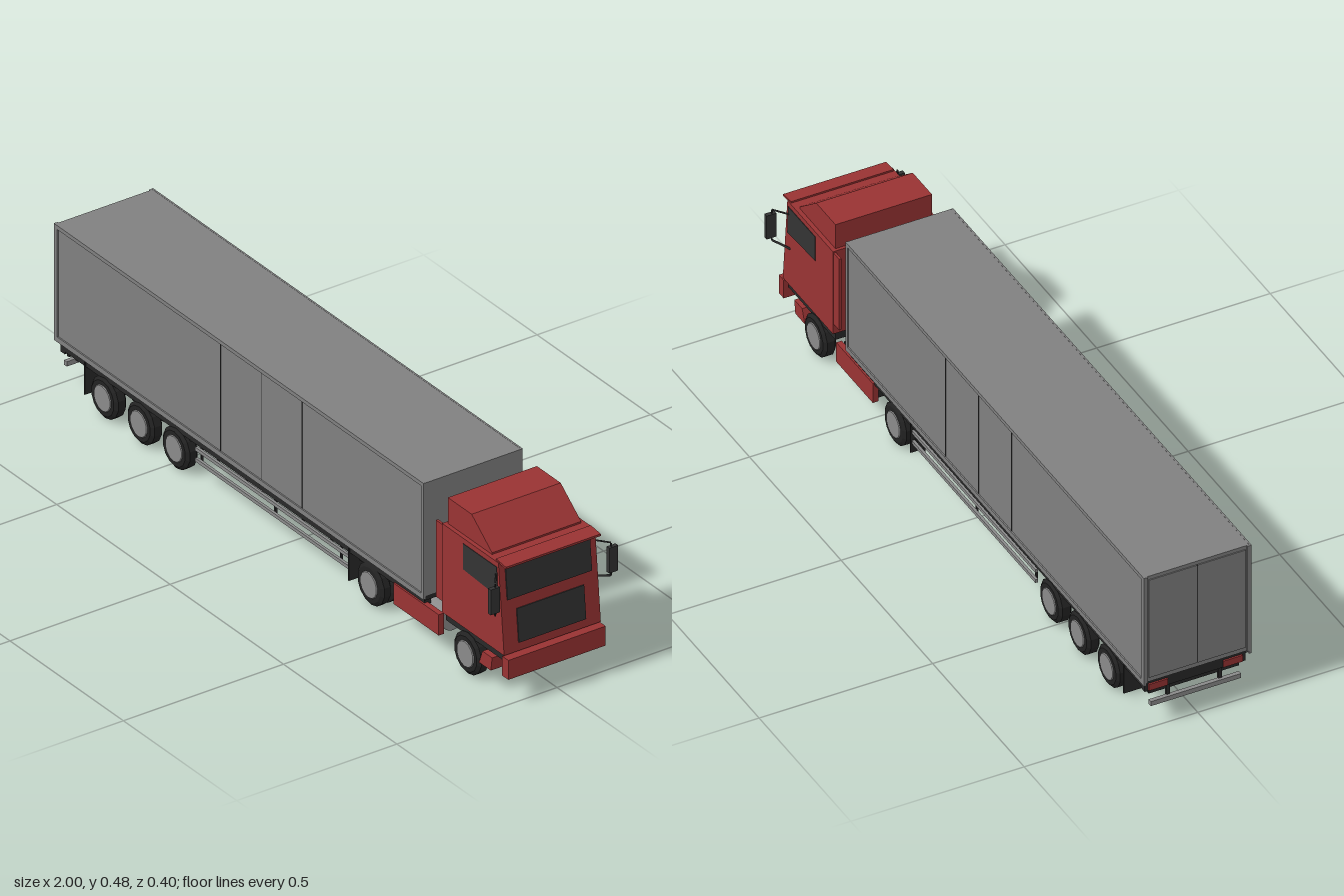
import * as THREE from 'three';
import { toCreasedNormals } from 'three/addons/utils/BufferGeometryUtils.js';

const material = (name, color) => {
  const m = new THREE.MeshStandardMaterial({ color });
  m.name = name;
  return m;
};

export function createModel() {
  const red = material('cab red', 0x993333);
  const grey = material('trailer grey', 0x808080);
  const glass = material('dark glass', 0x333333);
  const black = material('chassis black', 0x292929);
  const rubber = material('tyre rubber', 0x222222);
  const metal = material('hub metal', 0x8a8a8a);

  const truck = new THREE.Group();
  truck.name = 'truck';

  function add(name, geometry, mat, x = 0, y = 0, z = 0, parent = truck) {
    const mesh = new THREE.Mesh(geometry, mat);
    mesh.name = name;
    mesh.position.set(x, y, z);
    parent.add(mesh);
    return mesh;
  }
  // Box given by its limits on each axis
  function box(name, mat, x0, x1, y0, y1, z0, z1) {
    return add(name, new THREE.BoxGeometry(x1 - x0, y1 - y0, z1 - z0), mat,
      (x0 + x1) / 2, (y0 + y1) / 2, (z0 + z1) / 2);
  }
  // Side profile in x and y, extruded across z
  function profile(name, mat, points, z0, z1) {
    const shape = new THREE.Shape(points.map(p => new THREE.Vector2(...p)));
    const geometry = new THREE.ExtrudeGeometry(shape, { depth: z1 - z0, bevelEnabled: false });
    return add(name, geometry, mat, 0, 0, z0);
  }
  function rod(name, mat, a, b, radius) {
    const start = new THREE.Vector3(...a), end = new THREE.Vector3(...b);
    const path = new THREE.LineCurve3(start, end);
    return add(name, new THREE.TubeGeometry(path, 1, radius, 6), mat);
  }
  // Box on one side, from inner to outer distance
  function sideBox(name, mat, s, x0, x1, y0, y1, zi, zo) {
    return box(name, mat, x0, x1, y0, y1, Math.min(s * zi, s * zo), Math.max(s * zi, s * zo));
  }

  // Trailer body with raised frame
  box('trailerBody', grey, -0.996, 0.63, 0.143, 0.477, -0.151, 0.151);
  box('trailerFloor', black, -0.985, 0.625, 0.128, 0.143, -0.148, 0.148);
  for (const s of [-1, 1]) {
    sideBox('topRail', grey, s, -1, 0.63, 0.466, 0.4775, 0.15, 0.155);
    sideBox('bottomRail', grey, s, -1, 0.63, 0.135, 0.15, 0.147, 0.155);
    sideBox('rearPost', grey, s, -1, -0.985, 0.143, 0.477, 0.143, 0.155);
    sideBox('frontPost', grey, s, 0.62, 0.63, 0.143, 0.477, 0.15, 0.155);
    for (const x of [-0.27, -0.09, 0.09]) {
      sideBox('panelSeam', glass, s, x - 0.001, x + 0.001, 0.15, 0.466, 0.15, 0.152);
    }
    // Rear doors and lamps
    sideBox('rearDoor', grey, s, -0.999, -0.995, 0.157, 0.466, 0.002, 0.14);
    sideBox('tailLamp', red, s, -0.99, -0.982, 0.108, 0.128, 0.08, 0.135);
    // Trailer chassis beams
    sideBox('trailerBeam', black, s, -0.97, 0.6, 0.1, 0.13, 0.045, 0.06);
    sideBox('trailerEdgeBeam', black, s, -0.97, 0.62, 0.112, 0.13, 0.125, 0.145);
    // Side guard rails and posts
    for (const y of [0.066, 0.098]) {
      sideBox('guardRail', metal, s, -0.39, 0.285, y - 0.005, y + 0.005, 0.138, 0.146);
    }
    for (const x of [-0.375, -0.05, 0.24, 0.28]) {
      sideBox('guardPost', black, s, x - 0.003, x + 0.003, 0.06, 0.125, 0.132, 0.138);
    }
    // Mud flaps
    for (const x of [-0.875, 0.29]) {
      sideBox('mudFlap', black, s, x - 0.002, x + 0.002, 0.03, 0.125, 0.09, 0.148);
    }
    sideBox('underrunArm', black, s, -0.982, -0.972, 0.058, 0.13, 0.07, 0.08);
    // Tractor chassis beam
    sideBox('tractorBeam', black, s, 0.3, 0.955, 0.095, 0.122, 0.045, 0.057);
  }
  box('rearCrossBeam', black, -0.985, -0.965, 0.105, 0.13, -0.145, 0.145);
  box('upperUnderrunBar', black, -0.978, -0.968, 0.09, 0.1, -0.13, 0.13);
  box('lowerUnderrunBar', metal, -0.99, -0.978, 0.058, 0.072, -0.13, 0.13);
  box('doorGap', glass, -0.9985, -0.995, 0.157, 0.466, -0.002, 0.002);
  for (let i = 0; i < 12; i++) {
    const x = -0.92 + i * 0.125;
    box('crossMember', black, x - 0.006, x + 0.006, 0.105, 0.128, -0.14, 0.14);
  }

  // Underfloor box and spare wheel
  box('palletBox', metal, -0.235, -0.125, 0.083, 0.12, 0.06, 0.125);

  // Wheels along z, with bevelled tyres and flat hubs
  function tyreGeometry(width) {
    const h = width / 2;
    const points = [[0, -h], [0.05, -h], [0.06, -h * 0.6], [0.06, h * 0.6], [0.05, h], [0, h]];
    const geometry = new THREE.LatheGeometry(points.map(p => new THREE.Vector2(...p)), 14);
    return toCreasedNormals(geometry, 0.2);
  }
  const hub = new THREE.CylinderGeometry(0.036, 0.039, 0.004, 14).rotateX(Math.PI / 2);
  const spare = add('spareWheel', tyreGeometry(0.035), rubber, 0.03, 0.078, 0);
  spare.scale.set(1.05, 1, 1.05);
  for (const [x, dual] of [[-0.79, 0], [-0.63, 0], [-0.475, 0], [0.38, 1], [0.81, 0]]) {
    const axle = new THREE.CylinderGeometry(0.012, 0.012, 0.24, 8).rotateX(Math.PI / 2);
    add('axle', axle, black, x, 0.06, 0);
    for (const s of [-1, 1]) {
      const wheel = new THREE.Group();
      wheel.name = 'wheel';
      wheel.position.set(x, 0.06, s * 0.132);
      truck.add(wheel);
      const tyre = tyreGeometry(dual ? 0.032 : 0.038).rotateX(Math.PI / 2);
      add('tyre', tyre, rubber, 0, 0, 0, wheel);
      if (dual) add('innerTyre', tyre, rubber, 0, 0, -s * 0.034, wheel);
      const face = hub.clone();
      if (s < 0) face.rotateY(Math.PI);
      add('hub', face, metal, 0, 0, s * (dual ? 0.0165 : 0.0195), wheel);
    }
  }

  // Tractor underside
  box('cabFloor', black, 0.71, 0.965, 0.11, 0.134, -0.142, 0.142);
  box('engine', black, 0.74, 0.93, 0.07, 0.112, -0.055, 0.055);
  box('couplingPlate', black, 0.32, 0.46, 0.118, 0.13, -0.06, 0.06);
  box('batteryBox', black, 0.5, 0.68, 0.06, 0.122, -0.133, -0.075);
  const tank = new THREE.CylinderGeometry(0.034, 0.034, 0.18, 16).rotateZ(Math.PI / 2);
  add('fuelTank', toCreasedNormals(tank, 0.6), metal, 0.59, 0.085, 0.098);

  // Cab with a slightly raked front
  const lowX = 0.98, topX = 0.955, lowY = 0.134, topY = 0.395;
  profile('cab', red, [[0.706, lowY], [lowX, lowY], [topX, topY], [0.706, topY]], -0.151, 0.151);
  profile('roofFairing', red, [[0.715, 0.395], [0.91, 0.395], [0.91, 0.4], [0.82, 0.471], [0.715, 0.471]],
    -0.139, 0.139);
  profile('sunVisor', red, [[0.94, 0.393], [0.984, 0.389], [0.984, 0.395], [0.94, 0.4]], -0.148, 0.148);
  box('bumper', red, 0.973, 1, 0.073, 0.13, -0.152, 0.152);
  box('bumperBeam', black, 0.95, 0.974, 0.08, 0.134, -0.12, 0.12);

  // Windscreen and grille lie on the raked front
  const rake = Math.atan2(lowX - topX, topY - lowY);
  function frontPlate(name, y0, y1, halfWidth) {
    const y = (y0 + y1) / 2;
    const x = lowX + (topX - lowX) * (y - lowY) / (topY - lowY);
    const plate = new THREE.BoxGeometry(0.006, (y1 - y0) / Math.cos(rake), halfWidth * 2);
    add(name, plate, glass, x, y, 0).rotation.z = rake;
  }
  frontPlate('windscreen', 0.285, 0.388, 0.132);
  frontPlate('grille', 0.157, 0.253, 0.105);

  for (const s of [-1, 1]) {
    const outer = s * 0.1525, inner = s * 0.149;
    profile('sideWindow', glass, [[0.8, 0.305], [0.953, 0.296], [0.949, 0.38], [0.8, 0.38]],
      Math.min(outer, inner), Math.max(outer, inner));
    sideBox('airDeflector', red, s, 0.676, 0.71, 0.165, 0.39, 0.142, 0.149);
    sideBox('sideSkirt', red, s, 0.49, 0.69, 0.057, 0.118, 0.134, 0.15);
    profile('cabStep', red, [[0.865, 0.06], [0.917, 0.06], [0.923, 0.1], [0.88, 0.1]],
      s > 0 ? 0.11 : -0.148, s > 0 ? 0.148 : -0.11);
    // Mirrors on two arms
    sideBox('mirror', glass, s, 0.977, 0.989, 0.273, 0.347, 0.171, 0.199);
    rod('upperMirrorArm', black, [0.94, 0.358, s * 0.148], [0.983, 0.358, s * 0.181], 0.0025);
    rod('mirrorStem', black, [0.983, 0.358, s * 0.181], [0.983, 0.262, s * 0.181], 0.0025);
    rod('lowerMirrorArm', black, [0.937, 0.25, s * 0.148], [0.983, 0.262, s * 0.181], 0.003);
  }

  return truck;
}
